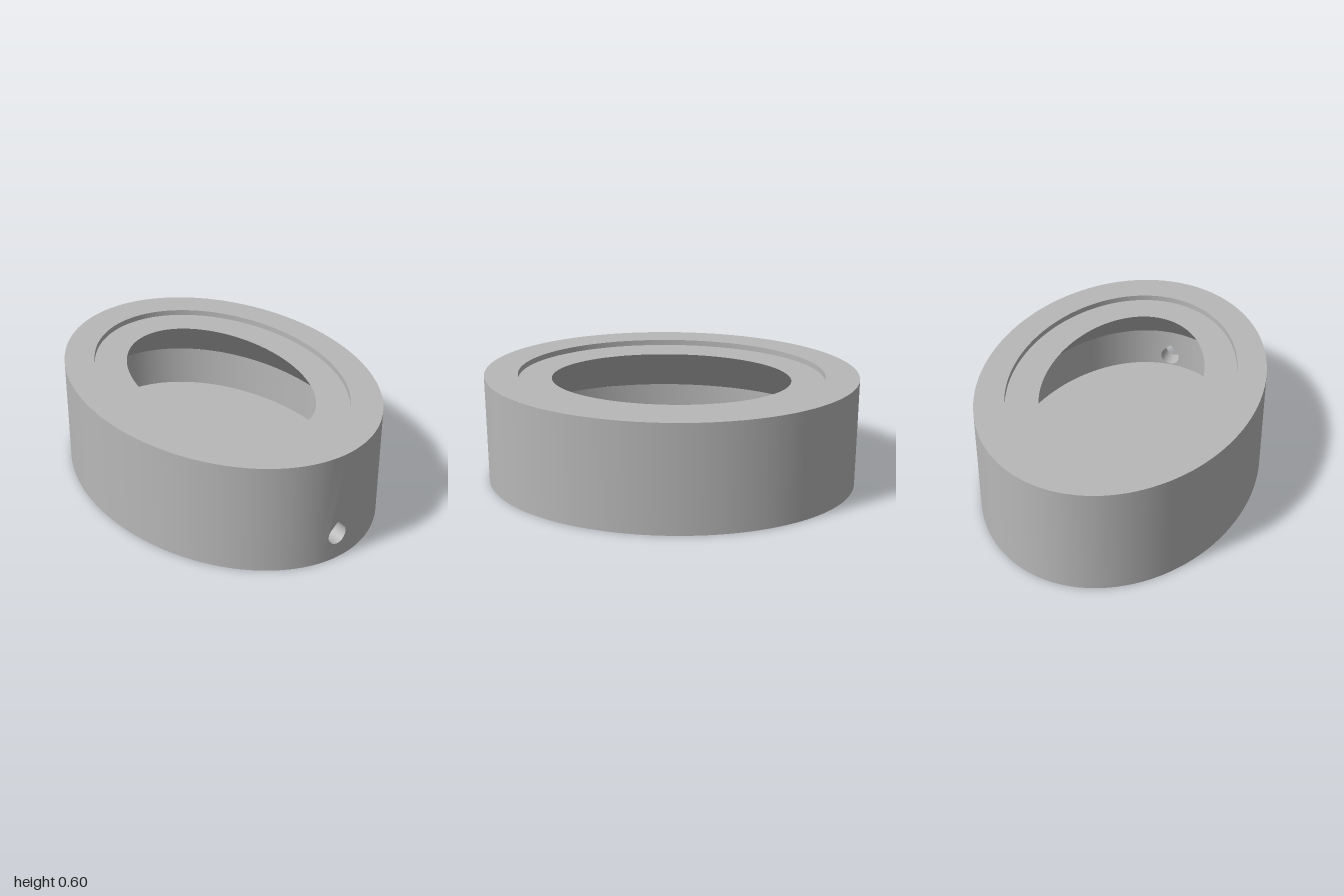
import * as THREE from 'three';
import { ParametricGeometry } from 'three/addons/geometries/ParametricGeometry.js';

// Oval sections: [half width x, half depth z, height y]
const OUTER = [1, 0.74];
const RECESS = [0.82, 0.585];
const OPENING = [0.64, 0.41];
const CAVITY = [0.9, 0.64];
const TOP = 0.6, LEDGE = 0.57, SHOULDER = 0.31, FLOOR = 0.08;
const HOLE_Y = 0.141, HOLE_R = 0.055, PATCH = 0.1;

const ovalX = ([a, b], z) => a * Math.sqrt(1 - (z / b) ** 2);

// Surface between two ovals, leaving a gap of half width `gap` at the +x end
function band(from, y0, to, y1, gap = 0) {
  const t0 = gap ? Math.asin(gap / from[1]) : 0;
  const geometry = new ParametricGeometry((u, v, p) => {
    const t = t0 + u * (2 * Math.PI - 2 * t0);
    p.set(
      THREE.MathUtils.lerp(from[0], to[0], v) * Math.cos(t),
      THREE.MathUtils.lerp(y0, y1, v),
      THREE.MathUtils.lerp(from[1], to[1], v) * Math.sin(t)
    );
  }, 144, 1);
  if (y0 === y1) {
    // flat faces point straight up or down
    const normal = geometry.attributes.normal;
    const dir = to[0] > from[0] ? 1 : -1;
    for (let i = 0; i < normal.count; i++) normal.setXYZ(i, 0, dir, 0);
  }
  return geometry;
}

// Teardrop outline of the cable hole, round below and pointed on top
function teardrop(Type) {
  const path = new Type();
  const tip = HOLE_Y + HOLE_R * Math.SQRT2;
  const s = HOLE_R * Math.SQRT1_2;
  path.moveTo(0, tip);
  path.lineTo(-s, HOLE_Y + s);
  path.absarc(0, HOLE_Y, HOLE_R, Math.PI * 0.75, Math.PI * 2.25, false);
  path.lineTo(0, tip);
  return path;
}

// Piece of curved wall pierced by the hole; side is 1 facing out, -1 facing in
function piercedWall(oval, y0, y1, side) {
  const points = [];
  const steps = 10;
  for (let i = 0; i <= steps; i++) points.push(new THREE.Vector2(-PATCH + 2 * PATCH * i / steps, y0));
  for (let i = steps; i >= 0; i--) points.push(new THREE.Vector2(-PATCH + 2 * PATCH * i / steps, y1));
  const shape = new THREE.Shape(points);
  shape.holes.push(teardrop(THREE.Path));
  const geometry = new THREE.ShapeGeometry(shape, 24);
  const { position, normal } = geometry.attributes;
  const n = new THREE.Vector3();
  for (let i = 0; i < position.count; i++) {
    const z = -side * position.getX(i);
    const x = ovalX(oval, z);
    position.setXYZ(i, x, position.getY(i), z);
    n.set(x / oval[0] ** 2, 0, z / oval[1] ** 2).normalize().multiplyScalar(side);
    normal.setXYZ(i, n.x, n.y, n.z);
  }
  return geometry;
}

// Inside of the hole, running from the cavity to the outer wall
function holeTunnel() {
  const path = teardrop(THREE.Path);
  const q = new THREE.Vector2();
  return new ParametricGeometry((u, v, p) => {
    path.getPoint(u, q);
    p.set(THREE.MathUtils.lerp(ovalX(CAVITY, q.x), ovalX(OUTER, q.x), v), q.y, q.x);
  }, 48, 1);
}

export function createModel() {
  const group = new THREE.Group();
  group.name = 'ovalBase';
  const grey = new THREE.MeshStandardMaterial({ color: 0xb8b8b8 });
  grey.name = 'grey';
  const add = (name, geometry) => {
    const mesh = new THREE.Mesh(geometry, grey);
    mesh.name = name;
    group.add(mesh);
  };
  const centre = [0, 0];

  // Cavity with an overhanging shoulder below the opening
  add('cavityFloor', band(centre, FLOOR, CAVITY, FLOOR));
  add('cavityWall', band(CAVITY, FLOOR, CAVITY, SHOULDER, PATCH));
  add('cavityWallAtHole', piercedWall(CAVITY, FLOOR, SHOULDER, -1));
  add('cavityShoulder', band(CAVITY, SHOULDER, OPENING, LEDGE));

  // Shallow recess and rim on top
  add('recessLedge', band(OPENING, LEDGE, RECESS, LEDGE));
  add('recessWall', band(RECESS, LEDGE, RECESS, TOP));
  add('topRim', band(RECESS, TOP, OUTER, TOP));

  // Outer shell
  add('outerWall', band(OUTER, TOP, OUTER, 0, PATCH));
  add('outerWallAtHole', piercedWall(OUTER, 0, TOP, 1));
  add('underside', band(OUTER, 0, centre, 0));

  // Cable hole on the left end
  add('cableHole', holeTunnel());
  return group;
}
